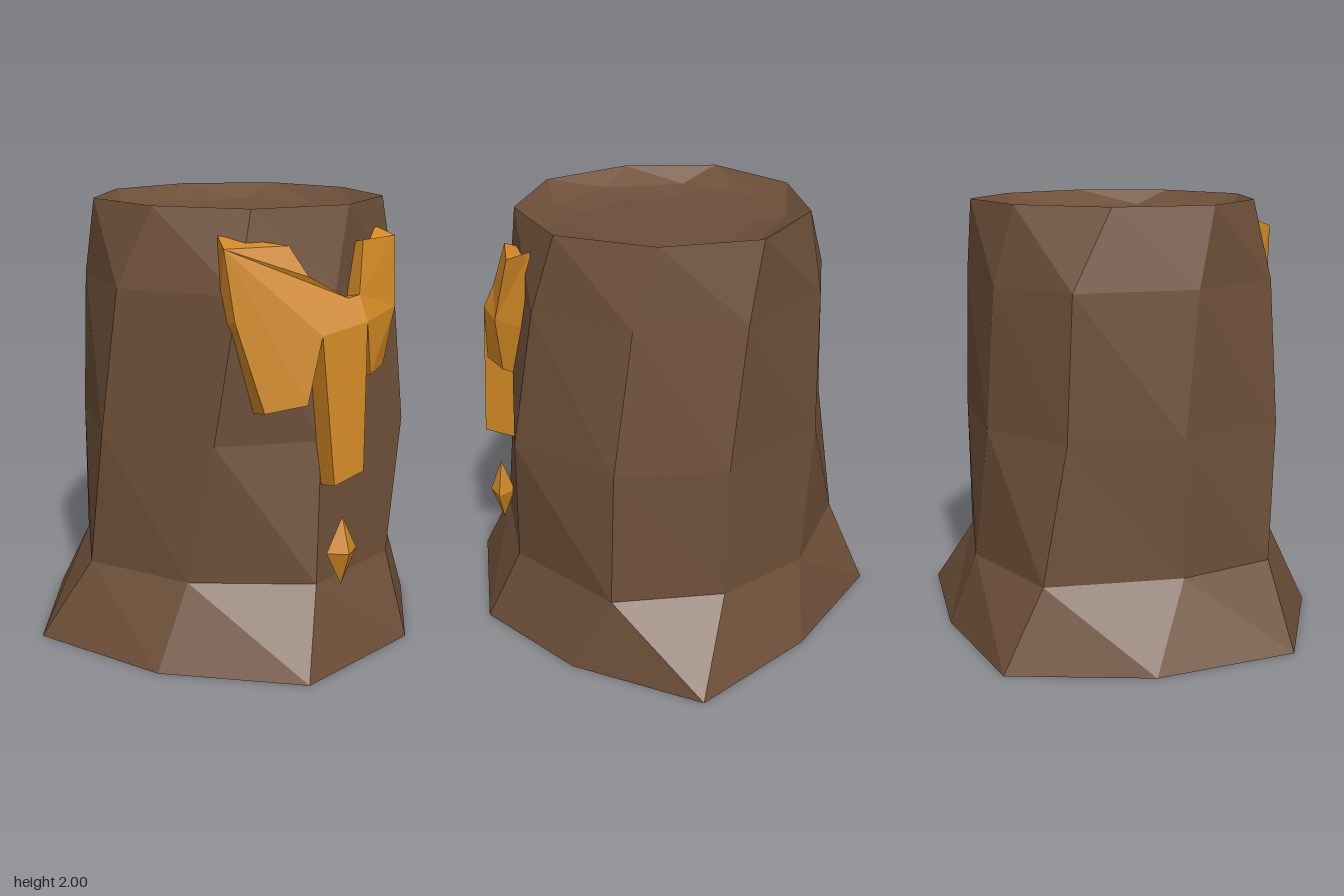
import * as THREE from 'three';

const bark = new THREE.MeshStandardMaterial({ color: 0x6e5039, flatShading: true });
bark.name = 'bark brown';
const wood = new THREE.MeshStandardMaterial({ color: 0x6c4e3a, flatShading: true });
wood.name = 'cut wood brown';
const resin = new THREE.MeshStandardMaterial({ color: 0xd08824, flatShading: true });
resin.name = 'resin amber';

// Mesh with unshared corners, so every facet stays flat
function facetMesh(name, points, index, material) {
  const indexed = new THREE.BufferGeometry();
  indexed.setAttribute('position', new THREE.Float32BufferAttribute(points.flat(), 3));
  indexed.setIndex(index);
  const geometry = indexed.toNonIndexed();
  geometry.computeVertexNormals();
  const mesh = new THREE.Mesh(geometry, material);
  mesh.name = name;
  return mesh;
}

// Joins rings of equal length; capStart / capEnd close the ends with a fan
function loft(name, rings, material, capStart, capEnd) {
  const n = rings[0].length;
  const points = rings.flat();
  const index = [];
  for (let r = 0; r < rings.length - 1; r++) {
    for (let i = 0; i < n; i++) {
      const a = r * n + i, b = r * n + (i + 1) % n;
      index.push(a, b, a + n, b, b + n, a + n);
    }
  }
  const last = (rings.length - 1) * n;
  for (let i = 1; i < n - 1; i++) {
    if (capStart) index.push(0, i + 1, i);
    if (capEnd) index.push(last, last + i, last + i + 1);
  }
  return facetMesh(name, points, index, material);
}

// Ring of [x, z] pairs at height y
const ring = (y, pairs) => pairs.map(([x, z]) => [x, y, z]);

export function createModel() {
  const model = new THREE.Group();
  model.name = 'treeStump';

  // Trunk: nine-sided, flared at the roots and twisting upward
  const rim = ring(2, [[0.2, 0.65], [0.57, 0.4], [0.67, -0.05], [0.52, -0.47], [0.1, -0.65],
    [-0.34, -0.53], [-0.62, -0.17], [-0.55, 0.27], [-0.26, 0.6]]);
  const trunkRings = [
    ring(0, [[-0.2, 1], [0.46, 0.82], [0.81, 0.34], [1, -0.29], [0.5, -0.71],
      [-0.1, -1], [-0.65, -0.62], [-1, -0.04], [-0.71, 0.57]]),
    ring(0.37, [[-0.05, 0.82], [0.46, 0.65], [0.81, 0.15], [0.68, -0.35], [0.35, -0.68],
      [-0.18, -0.82], [-0.61, -0.36], [-0.79, 0.07], [-0.53, 0.52]]),
    ring(1, [[0.01, 0.75], [0.55, 0.62], [0.8, 0.13], [0.68, -0.36], [0.22, -0.72],
      [-0.25, -0.73], [-0.61, -0.36], [-0.76, 0.16], [-0.44, 0.6]]),
    ring(1.65, [[0.1, 0.71], [0.56, 0.51], [0.73, 0.05], [0.6, -0.42], [0.17, -0.71],
      [-0.27, -0.71], [-0.62, -0.28], [-0.69, 0.2], [-0.36, 0.66]]),
    rim,
  ];
  model.add(loft('trunk', trunkRings, bark, true, false));

  // Sloping rim and shallow hollow at the cut top
  const lip = ring(1.93, [[0.28, 0.51], [0.53, 0.22], [0.55, -0.16], [0.33, -0.43], [-0.04, -0.54],
    [-0.37, -0.36], [-0.51, -0.02], [-0.4, 0.33], [-0.1, 0.53]]);
  model.add(loft('rim', [rim, lip], bark, false, false));
  const floor = lip.map(([x, y, z]) => [x * 0.72, 1.9, z * 0.72]);
  model.add(loft('cutTop', [lip, floor], wood, false, true));

  // Resin flow: front outline, clockwise from the upper left corner
  const front = [
    [-0.42, 1.85, 0.65], [-0.13, 1.85, 0.69], [-0.06, 1.72, 0.74], [0.12, 1.62, 0.77],
    [0.18, 1.63, 0.77], [0.25, 1.85, 0.69], [0.47, 1.85, 0.63], [0.42, 1.55, 0.71],
    [0.37, 1.29, 0.7], [0.22, 1.28, 0.81], [0.19, 1.52, 0.82], [0.16, 0.87, 0.86],
    [0, 0.83, 0.87], [-0.04, 1.48, 0.82], [-0.11, 1.19, 0.82], [-0.28, 1.16, 0.75],
    [-0.39, 1.55, 0.69],
  ];
  const back = front.map(([x, y, z]) => [x, y - 0.03, z - 0.14]);
  back[0] = [-0.38, 1.89, 0.53];
  back[6] = [0.44, 1.88, 0.53];
  const faces = [[0, 1, 2], [0, 2, 3], [0, 3, 10], [3, 4, 10], [4, 7, 10], [4, 5, 6], [4, 6, 7],
    [10, 7, 9], [7, 8, 9], [0, 10, 13], [13, 10, 12], [10, 11, 12], [0, 13, 14], [0, 14, 15],
    [0, 15, 16]];
  const n = front.length;
  const index = [];
  for (const [a, b, c] of faces) index.push(a, c, b, a + n, b + n, c + n);
  for (let i = 0; i < n; i++) {
    const j = (i + 1) % n;
    index.push(i, j, i + n, j, j + n, i + n);
  }
  model.add(facetMesh('resinFlow', [...front, ...back], index, resin));

  // Falling drop below the longest run
  const drop = new THREE.Mesh(new THREE.OctahedronGeometry(1), resin);
  drop.name = 'resinDrop';
  drop.scale.set(0.08, 0.16, 0.06);
  drop.position.set(0.085, 0.5, 0.815);
  model.add(drop);

  return model;
}
